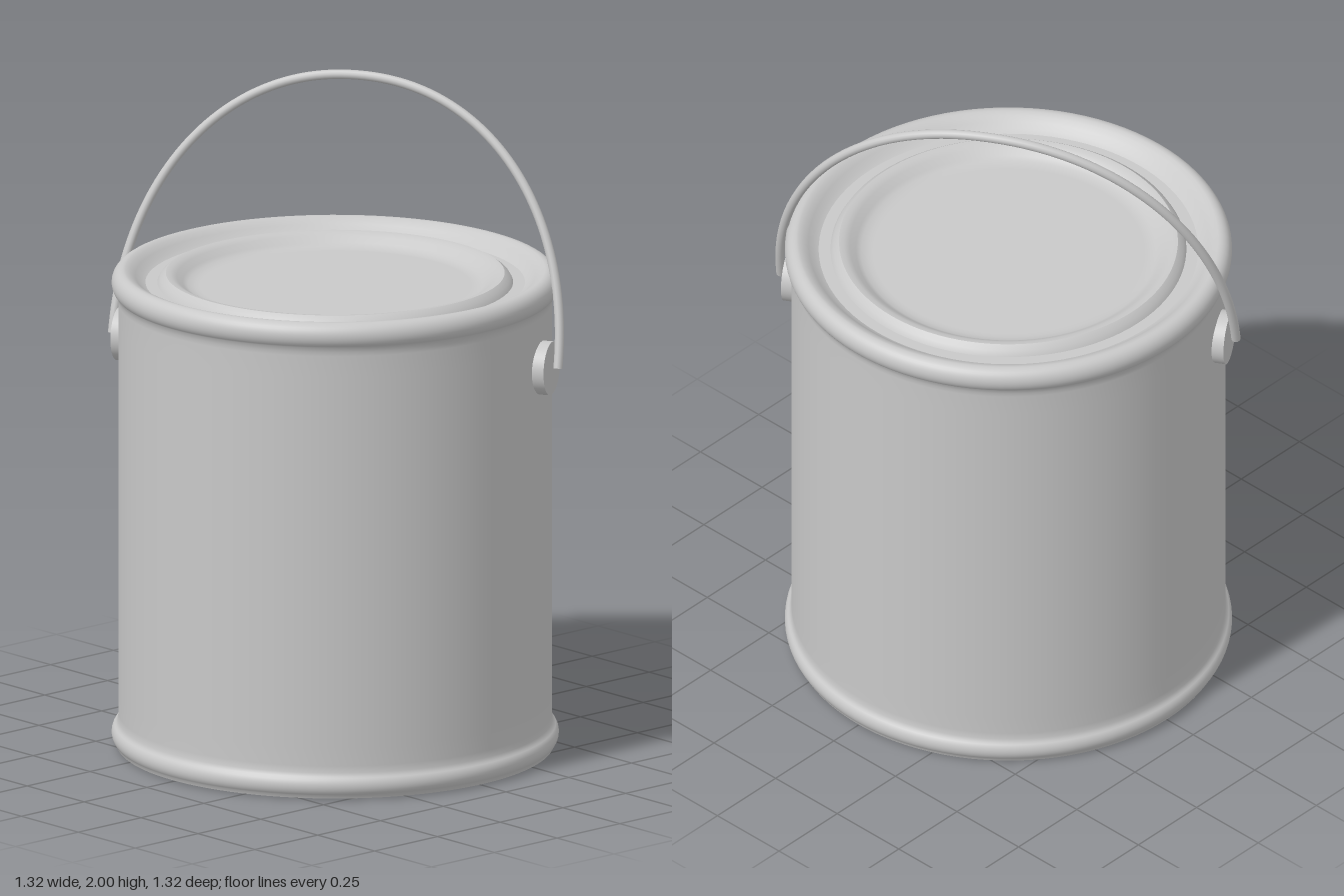
import * as THREE from 'three';

const SEGMENTS = 96;

// Profile runs from the bottom centre outwards, up, then back to the axis.
function lathe(name, points, material) {
  const profile = points.map(([r, y]) => new THREE.Vector2(r, y));
  const mesh = new THREE.Mesh(new THREE.LatheGeometry(profile, SEGMENTS), material);
  mesh.name = name;
  return mesh;
}

// Points of an arc in the profile plane, angles in degrees.
function arc(cx, cy, rx, ry, from, to, steps) {
  return Array.from({ length: steps + 1 }, (_, i) => {
    const a = THREE.MathUtils.degToRad(from + (to - from) * i / steps);
    return [cx + rx * Math.cos(a), cy + ry * Math.sin(a)];
  });
}

// Tilted bail: a slightly squared half ellipse between the two lugs.
class BailCurve extends THREE.Curve {
  getPoint(t, target = new THREE.Vector3()) {
    const a = Math.PI * t;
    const c = Math.cos(a);
    const s = Math.pow(Math.max(0, Math.sin(a)), 0.95);
    return target.set(0.69 * Math.sign(c) * Math.pow(Math.abs(c), 0.95), 0.786 * s, -0.22 * s);
  }
}

export function createModel() {
  const model = new THREE.Group();
  model.name = 'paintCan';
  const metal = new THREE.MeshStandardMaterial({ color: 0xc8c8c8 });
  metal.name = 'grey metal';

  // Recessed base
  model.add(lathe('base', [[0, 0.015], [0.615, 0.015]], metal));
  model.add(lathe('baseLip', [[0.615, 0.015], [0.622, 0.005]], metal));
  model.add(lathe('baseRing', [[0.622, 0.005], [0.632, 0], [0.645, 0.003]], metal));

  // Bottom bead, wall and top bead
  model.add(lathe('bottomBead', [
    [0.645, 0.003], ...arc(0.628, 0.04, 0.032, 0.036, -50, 55, 10), [0.641, 0.08], [0.64, 0.1], [0.64, 0.155],
  ], metal));
  model.add(lathe('wall', [[0.64, 0.155], [0.64, 1.285]], metal));
  model.add(lathe('topBead', [
    [0.64, 1.285], [0.64, 1.35], [0.641, 1.363],
    ...arc(0.625, 1.41, 0.035, 0.04, -55, 100, 14),
    [0.605, 1.444], [0.59, 1.432], [0.575, 1.418], [0.56, 1.41],
  ], metal));

  // Shelf around the lid
  model.add(lathe('shelf', [[0.56, 1.41], [0.525, 1.41]], metal));

  // Pressed lid with a raised edge and a sunken panel
  model.add(lathe('lidEdge', [[0.525, 1.41], [0.516, 1.426], [0.5, 1.438]], metal));
  model.add(lathe('lidPanel', [
    [0.5, 1.438], [0.485, 1.436], [0.468, 1.428], [0.45, 1.412], [0.435, 1.404], [0.415, 1.4], [0.4, 1.4], [0, 1.4],
  ], metal));

  // Handle assembly, turned about the can's axis
  const handle = new THREE.Group();
  handle.name = 'handle';
  handle.position.y = 1.2;
  handle.rotation.y = Math.PI / 6;
  model.add(handle);

  const bailCurve = new BailCurve();
  const bail = new THREE.Mesh(new THREE.TubeGeometry(bailCurve, 96, 0.014, 12), metal);
  bail.name = 'bail';
  handle.add(bail);

  for (const side of [1, -1]) {
    // Round lug fixed to the wall
    const lug = new THREE.Mesh(new THREE.CylinderGeometry(0.08, 0.08, 0.06, 40), metal);
    lug.name = side > 0 ? 'leftLug' : 'rightLug';
    lug.rotation.z = Math.PI / 2;
    lug.position.x = side * 0.641;
    handle.add(lug);

    // Closed end of the wire
    const t = side > 0 ? 0 : 1;
    const cap = new THREE.Mesh(new THREE.CircleGeometry(0.014, 12), metal);
    cap.name = 'bailEnd';
    cap.position.copy(bailCurve.getPoint(t));
    const outward = bailCurve.getTangent(t).multiplyScalar(side > 0 ? -1 : 1);
    cap.quaternion.setFromUnitVectors(new THREE.Vector3(0, 0, 1), outward);
    handle.add(cap);
  }

  return model;
}
